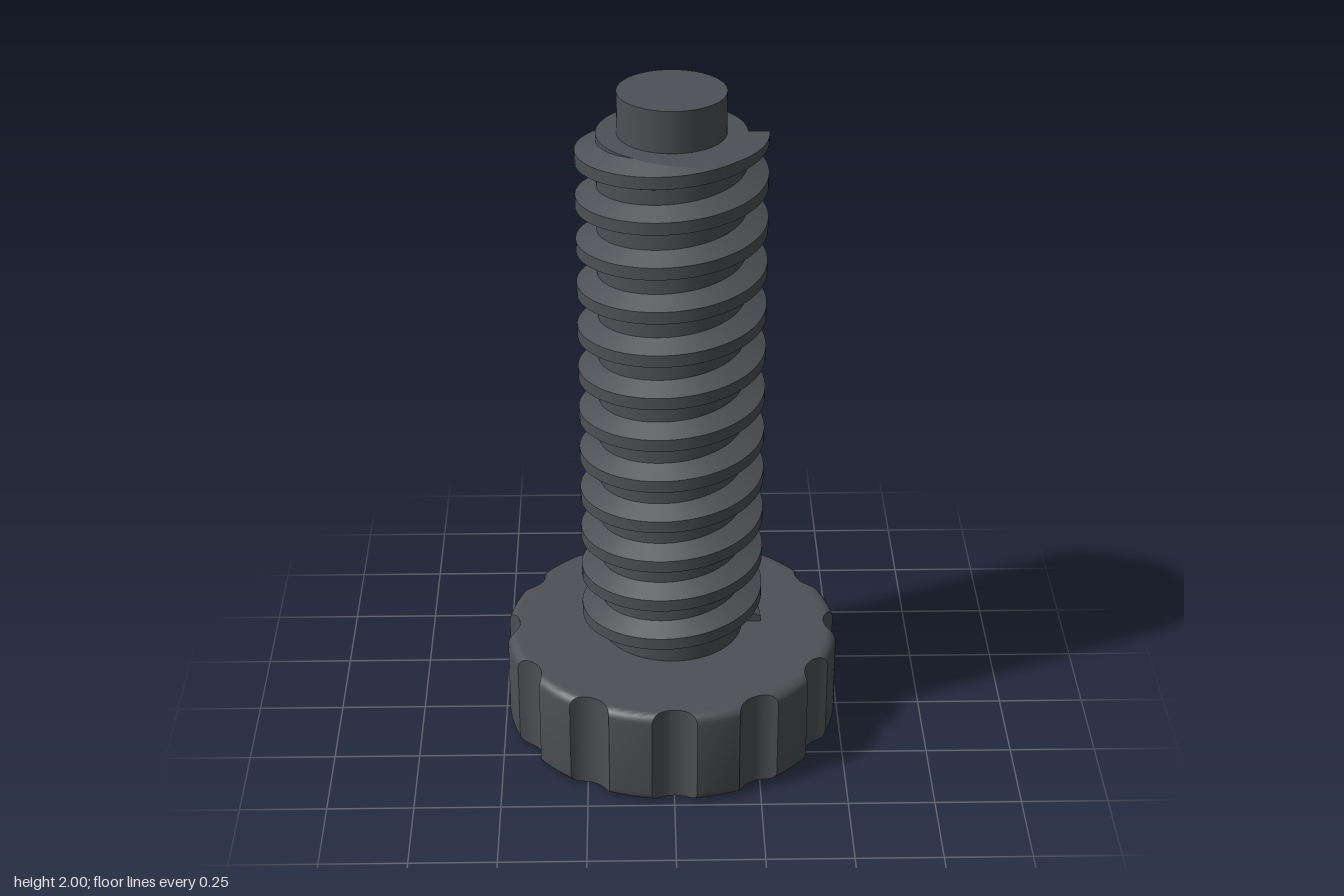
import * as THREE from 'three';
import { toCreasedNormals } from 'three/addons/utils/BufferGeometryUtils.js';

const KNOB_R = 0.491, KNOB_H = 0.3, FILLET = 0.03;
const FLUTES = 12, FLUTE_C = 0.532, FLUTE_R = 0.079;
const SHAFT_R = 0.207, SHAFT_TOP = 1.88, CREST_R = 0.265, TURNS = 12;

// Skin a list of cross-sections; capEnds fills the first and last one
function skin(rings, capEnds = false) {
  const n = rings[0].length, index = [];
  for (let j = 0; j < rings.length - 1; j++) {
    for (let i = 0; i < n - 1; i++) {
      const a = j * n + i, b = a + 1, c = a + n, d = c + 1;
      index.push(a, b, d, a, d, c);
    }
  }
  if (capEnds) {
    const e = (rings.length - 1) * n;
    for (let i = 1; i < n - 1; i++) index.push(0, i + 1, i, e, e + i, e + i + 1);
  }
  const geometry = new THREE.BufferGeometry();
  geometry.setAttribute('position', new THREE.Float32BufferAttribute(rings.flat(2), 3));
  geometry.setIndex(index);
  return toCreasedNormals(geometry, 0.38);
}

// Fluted outline of the knob for a rim radius R
function knobRing(R, y, scale = 1) {
  const half = Math.acos((R * R + FLUTE_C ** 2 - FLUTE_R ** 2) / (2 * R * FLUTE_C));
  const step = (2 * Math.PI) / FLUTES, ring = [];
  const add = (angle, r) => ring.push([r * scale * Math.cos(angle), y, -r * scale * Math.sin(angle)]);
  for (let f = 0; f < FLUTES; f++) {
    for (let i = 0; i < 14; i++) {
      const t = half * (-1 + (2 * i) / 14);
      const r = FLUTE_C * Math.cos(t) - Math.sqrt(FLUTE_R ** 2 - (FLUTE_C * Math.sin(t)) ** 2);
      add(f * step + t, r);
    }
    for (let i = 0; i < 8; i++) add(f * step + half + ((step - 2 * half) * i) / 8, R);
  }
  ring.push([...ring[0]]);
  return ring;
}

function knobGeometry() {
  const inner = KNOB_R - FILLET, rings = [];
  rings.push(knobRing(inner, 0, 0), knobRing(inner, 0, 0.97));
  for (let i = 0; i <= 6; i++) {
    const a = (i / 6) * Math.PI / 2;
    rings.push(knobRing(inner + FILLET * Math.sin(a), FILLET * (1 - Math.cos(a))));
  }
  for (let i = 0; i <= 6; i++) {
    const a = (i / 6) * Math.PI / 2;
    rings.push(knobRing(inner + FILLET * Math.cos(a), KNOB_H - FILLET * (1 - Math.sin(a))));
  }
  rings.push(knobRing(inner, KNOB_H, 0.97), knobRing(inner, KNOB_H, 0));
  return skin(rings);
}

// Right-handed trapezoid thread, cut flush with the shaft top
function threadGeometry() {
  const crest = 0.018, root = 0.044; // half heights
  const steps = TURNS * 72, rings = [];
  for (let k = 0; k <= steps; k++) {
    const a = (k / 72) * 2 * Math.PI;
    const mid = KNOB_H + ((SHAFT_TOP - KNOB_H) * k) / steps;
    // where the cutting plane crosses the upper flank: 0 at the crest, 1 at the root
    const t = THREE.MathUtils.clamp((SHAFT_TOP - mid - crest) / (root - crest), 0, 1);
    const profile = [
      [SHAFT_R, root],
      [THREE.MathUtils.lerp(CREST_R, SHAFT_R, t), THREE.MathUtils.lerp(crest, root, t)],
      [CREST_R, crest], [CREST_R, -crest], [SHAFT_R, -root],
    ];
    rings.push(profile.map(([r, dy]) =>
      [r * Math.cos(a), Math.min(mid + dy, SHAFT_TOP), -r * Math.sin(a)]));
  }
  return skin(rings, true);
}

function cylinder(radius, bottom, top) {
  return new THREE.CylinderGeometry(radius, radius, top - bottom, 72).translate(0, (top + bottom) / 2, 0);
}

export function createModel() {
  const group = new THREE.Group();
  group.name = 'thumbScrew';
  const plastic = new THREE.MeshStandardMaterial({ color: 0x4d5054 });
  plastic.name = 'darkGrey';
  const add = (name, geometry) => {
    const mesh = new THREE.Mesh(geometry, plastic);
    mesh.name = name;
    group.add(mesh);
  };
  add('knob', knobGeometry());
  add('shaft', cylinder(SHAFT_R, KNOB_H - 0.02, SHAFT_TOP));
  add('thread', threadGeometry());
  add('tipPin', cylinder(0.15, SHAFT_TOP - 0.02, 2));
  return group;
}
